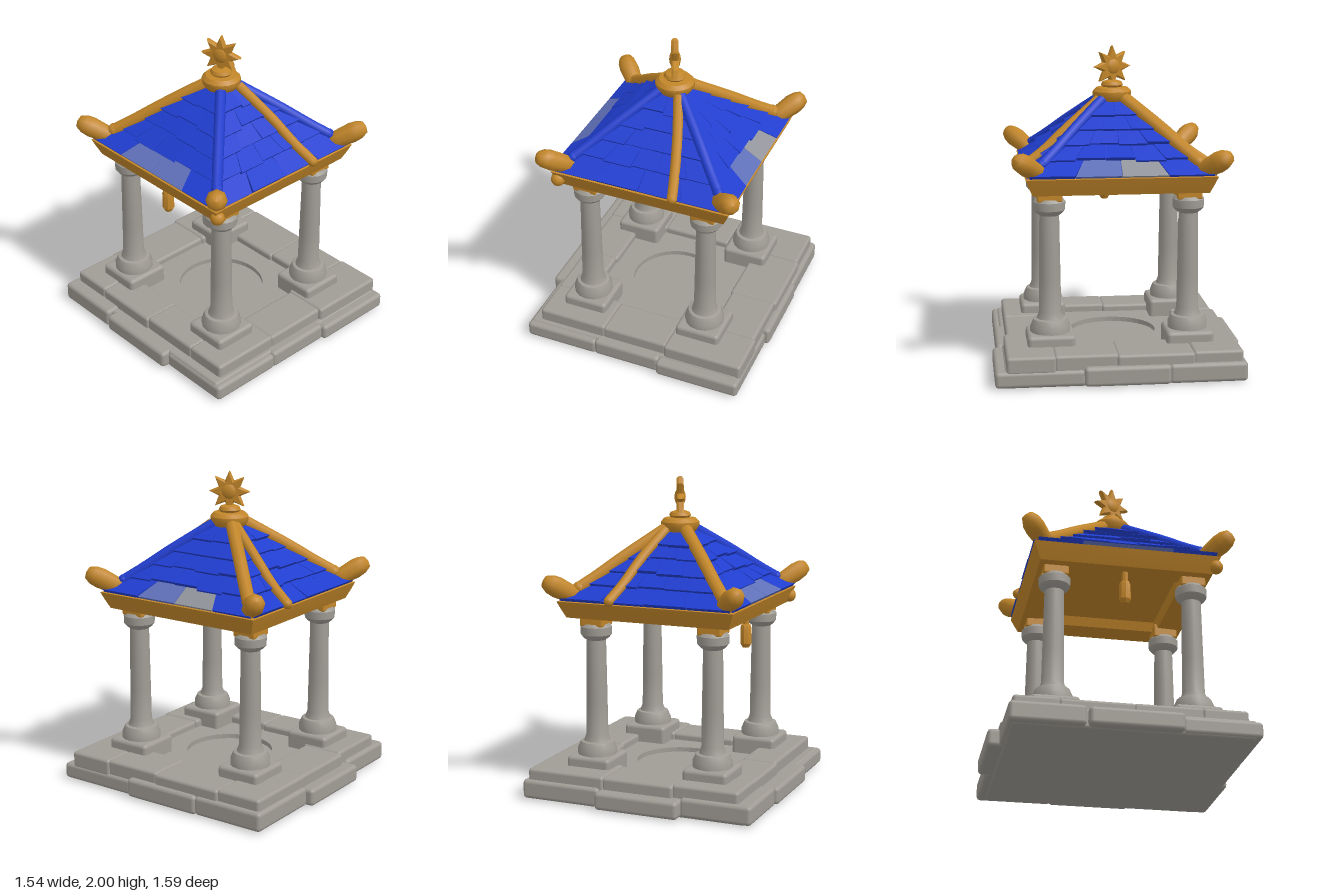
import * as THREE from 'three';
import { RoundedBoxGeometry } from 'three/addons/geometries/RoundedBoxGeometry.js';
import { toCreasedNormals } from 'three/addons/utils/BufferGeometryUtils.js';

const mat = (name, color) => {
  const m = new THREE.MeshStandardMaterial({ color });
  m.name = name;
  return m;
};

export function createModel() {
  const model = new THREE.Group();
  model.name = 'pavilion';
  const stone = mat('stone', 0xa09c95);
  const gold = mat('gold', 0xc28629);
  const blue = mat('blueTile', 0x203dce);
  const slate = mat('slateTile', 0x5f70b8);
  const pale = mat('paleTile', 0x92949c);

  let seed = 7;
  const rand = () => (seed = (seed * 16807) % 2147483647) / 2147483647;
  const jitter = (a) => (rand() - 0.5) * 2 * a;

  const add = (name, geo, material, x = 0, y = 0, z = 0, parent = model) => {
    const m = new THREE.Mesh(geo, material);
    m.name = name;
    m.position.set(x, y, z);
    parent.add(m);
    return m;
  };
  const block = (name, material, x0, x1, y0, y1, z0, z1, r = 0.02) =>
    add(name, new RoundedBoxGeometry(x1 - x0, y1 - y0, z1 - z0, 2, r), material,
      (x0 + x1) / 2, (y0 + y1) / 2, (z0 + z1) / 2);
  const lathe = (pts, seg) => new THREE.LatheGeometry(pts.map(([r, y]) => new THREE.Vector2(r, y)), seg);
  // four-sided lathe: profile gives half widths of a square plan
  const squareLathe = (pts) => {
    const g = lathe(pts.map(([w, y]) => [w * Math.SQRT2, y]), 4);
    g.rotateY(Math.PI / 4);
    return toCreasedNormals(g, 0.1);
  };

  // lower step: slab ringed by uneven blocks
  block('baseSlab', stone, -0.72, 0.72, 0, 0.12, -0.71, 0.73);
  [[-0.76, -0.3, -0.73, -0.28, 0.13], [-0.31, 0.24, -0.8, -0.4, 0.12], [0.23, 0.76, -0.755, -0.27, 0.13],
    [-0.775, -0.4, -0.27, 0.29, 0.12], [0.4, 0.77, -0.28, 0.25, 0.13], [-0.73, -0.24, 0.28, 0.765, 0.11],
    [-0.25, 0.2, 0.4, 0.765, 0.12], [0.19, 0.745, 0.24, 0.79, 0.11],
  ].forEach(([x0, x1, z0, z1, h]) => block('lowerStep', stone, x0, x1, 0.008, h, z0, z1, 0.025));

  // upper step: rim blocks around the sunken floor
  [[-0.67, -0.24, -0.7, -0.42, 0.2], [-0.25, 0.22, -0.72, -0.43, 0.195], [0.21, 0.73, -0.73, -0.42, 0.2],
    [-0.67, -0.42, -0.43, 0.02, 0.195], [-0.66, -0.43, 0.01, 0.43, 0.2], [0.42, 0.74, -0.43, 0.05, 0.195],
    [0.43, 0.73, 0.04, 0.43, 0.2], [-0.66, -0.2, 0.42, 0.7, 0.2], [-0.21, 0.23, 0.43, 0.7, 0.195],
    [0.22, 0.74, 0.42, 0.72, 0.2],
  ].forEach(([x0, x1, z0, z1, h]) => block('upperStep', stone, x0, x1, 0.09, h, z0, z1));

  // sunken floor with a round hollow
  const floor = new THREE.Shape();
  floor.moveTo(-0.45, -0.45).lineTo(0.45, -0.45).lineTo(0.45, 0.45).lineTo(-0.45, 0.45).closePath();
  floor.holes.push(new THREE.Path().absarc(0, 0, 0.28, 0, Math.PI * 2, true));
  const floorGeo = new THREE.ExtrudeGeometry(floor, { depth: 0.035, bevelEnabled: false, curveSegments: 20 });
  floorGeo.rotateX(-Math.PI / 2);
  add('floor', floorGeo, stone, 0, 0.115, 0);

  // columns with stepped feet, capitals and gold bearing blocks
  const columnGeo = toCreasedNormals(lathe([[0, 0.25], [0.125, 0.25], [0.125, 0.3], [0.105, 0.345], [0.085, 0.35],
    [0.07, 0.39], [0.067, 0.6], [0.064, 0.8], [0.061, 1.0], [0.082, 1.015], [0.098, 1.035], [0.1, 1.085],
    [0.085, 1.105], [0, 1.105]], 16), 0.6);
  for (const sx of [-1, 1]) for (const sz of [-1, 1]) {
    const x = sx < 0 ? -0.4 : 0.388, z = sz * 0.432;
    add('column', columnGeo, stone, x, 0, z);
    block('columnFoot', stone, x - 0.147, x + 0.147, 0.11, 0.265, z - 0.147, z + 0.147, 0.025);
    block('columnBearing', gold, x - 0.078, x + 0.078, 1.09, 1.18, z - 0.078, z + 0.078, 0.01);
  }

  // eave beam with recessed ceiling
  add('eaveBeam', squareLathe([[0, 1.21], [0.36, 1.21], [0.38, 1.15], [0.54, 1.145], [0.565, 1.2],
    [0.585, 1.25], [0.54, 1.265], [0, 1.265]]), gold);
  add('beamKnob', new THREE.SphereGeometry(0.045, 10, 8), gold, -0.55, 1.19, 0.56);

  // hanging lantern
  add('lantern', toCreasedNormals(lathe([[0, 0.93], [0.022, 0.935], [0.037, 0.96], [0.037, 1.06], [0.03, 1.08],
    [0.02, 1.085], [0.02, 1.16]], 8), 0.5), gold, -0.452, 0, 0);

  // roof core
  const profile = [[0.57, 1.25], [0.46, 1.335], [0.36, 1.415], [0.27, 1.495], [0.18, 1.57], [0.08, 1.66]];
  add('roofCore', squareLathe(profile), blue);
  // roof surface: half width and height at course position t (0 eave .. 5 peak)
  const roofAt = (t) => {
    const i = Math.min(Math.max(Math.floor(t), 0), 4), f = t - i;
    return [0, 1].map((k) => profile[i][k] + (profile[i + 1][k] - profile[i][k]) * f);
  };

  // overlapping roof tiles, each a box bent onto its side of the roof
  const tileGeo = (u0, u1, t0, t1, lift) => {
    const g = new THREE.BoxGeometry(1, 1, 1);
    const p = g.attributes.position;
    for (let i = 0; i < p.count; i++) {
      const [w, y] = roofAt(p.getY(i) < 0 ? t0 : t1);
      const out = p.getZ(i) < 0 ? -0.01 : p.getY(i) < 0 ? lift : 0.004;
      p.setXYZ(i, (p.getX(i) < 0 ? u0 : u1) * w, y + out * 0.77, w + out * 0.64);
    }
    g.computeVertexNormals();
    return g;
  };
  // eave tiles of each side: front, right, back, left
  const eaveColours = [[blue, blue, blue, blue], [blue, slate, pale, blue],
    [blue, blue, blue, blue], [blue, slate, slate, blue]];
  for (let side = 0; side < 4; side++) {
    const roofSide = new THREE.Group();
    roofSide.name = 'roofSide';
    roofSide.rotation.y = side * Math.PI / 2;
    model.add(roofSide);
    [4, 5, 4, 3, 2].forEach((n, course) => {
      for (let i = 0; i < n; i++) {
        const cut = (k) => (k === 0 ? -0.99 : k === n ? 0.99 : -1 + 2 * k / n);
        add('roofTile', tileGeo(cut(i) + 0.004, cut(i + 1) - 0.004, course + (course ? jitter(0.1) : 0),
          Math.min(course + 1.1, 5), 0.024 + jitter(0.008)), course ? blue : eaveColours[side][i],
        0, 0, 0, roofSide);
      }
    });
  }

  // ribs running down the roof
  const rib = (name, material, r, pts) => {
    const curve = new THREE.CatmullRomCurve3(pts.map((p) => new THREE.Vector3(...p)));
    add(name, new THREE.TubeGeometry(curve, 12, r, 8), material);
    add(name + 'End', new THREE.SphereGeometry(r * 1.05, 8, 6), material, ...pts[pts.length - 1]);
  };
  // corner horns, swelling then rounding off
  const hornGeo = lathe([[0, -0.03], [0.045, -0.02], [0.058, 0.06], [0.066, 0.15], [0.06, 0.2],
    [0.04, 0.24], [0, 0.25]], 8);
  for (const sx of [-1, 1]) for (const sz of [-1, 1]) {
    const back = sz < 0;
    const hip = [[0.07, 1.67], [0.27, 1.505], [0.4, 1.39], [0.48, 1.325]].map(([w, y]) => [sx * w, y, sz * w]);
    rib('hipRib', back ? gold : blue, back ? 0.042 : 0.034, hip);
    const horn = add('cornerHorn', hornGeo, gold, sx * 0.485, 1.27, sz * 0.49);
    horn.quaternion.setFromUnitVectors(new THREE.Vector3(0, 1, 0),
      new THREE.Vector3(sx, 0.74, sz).normalize());
    // slanted gold rib on the front and back slopes
    if (sx > 0) rib('slopeRib', gold, 0.032,
      [[0.06, 1.67, sz * 0.09], [0.14, 1.5, sz * 0.3], [0.19, 1.36, sz * 0.46], [0.225, 1.275, sz * 0.585]]);
  }

  // crown collar
  add('crownCollar', toCreasedNormals(lathe([[0.07, 1.63], [0.1, 1.655], [0.122, 1.69], [0.122, 1.715], [0.1, 1.738],
    [0.06, 1.742], [0.07, 1.755], [0.06, 1.775], [0.03, 1.785], [0, 1.79]], 16), 0.7), gold);

  // eight-pointed sunburst finial
  const star = new THREE.Shape();
  for (let i = 0; i < 16; i++) {
    const r = i % 2 ? 0.07 : 0.128, a = i * Math.PI / 8;
    star[i ? 'lineTo' : 'moveTo'](r * Math.cos(a), r * Math.sin(a));
  }
  star.closePath();
  const starGeo = new THREE.ExtrudeGeometry(star, { depth: 0.02, bevelThickness: 0.012, bevelSize: 0.01,
    bevelOffset: -0.008, bevelSegments: 1 });
  starGeo.translate(0, 0, -0.01);
  add('sunburst', starGeo, gold, 0, 1.87, 0).rotation.y = -1.15;
  const core = add('sunburstCore', new THREE.SphereGeometry(0.06, 12, 8), gold, 0, 1.87, 0);
  core.scale.set(1, 1, 0.6);
  core.rotation.y = -1.15;

  return model;
}
